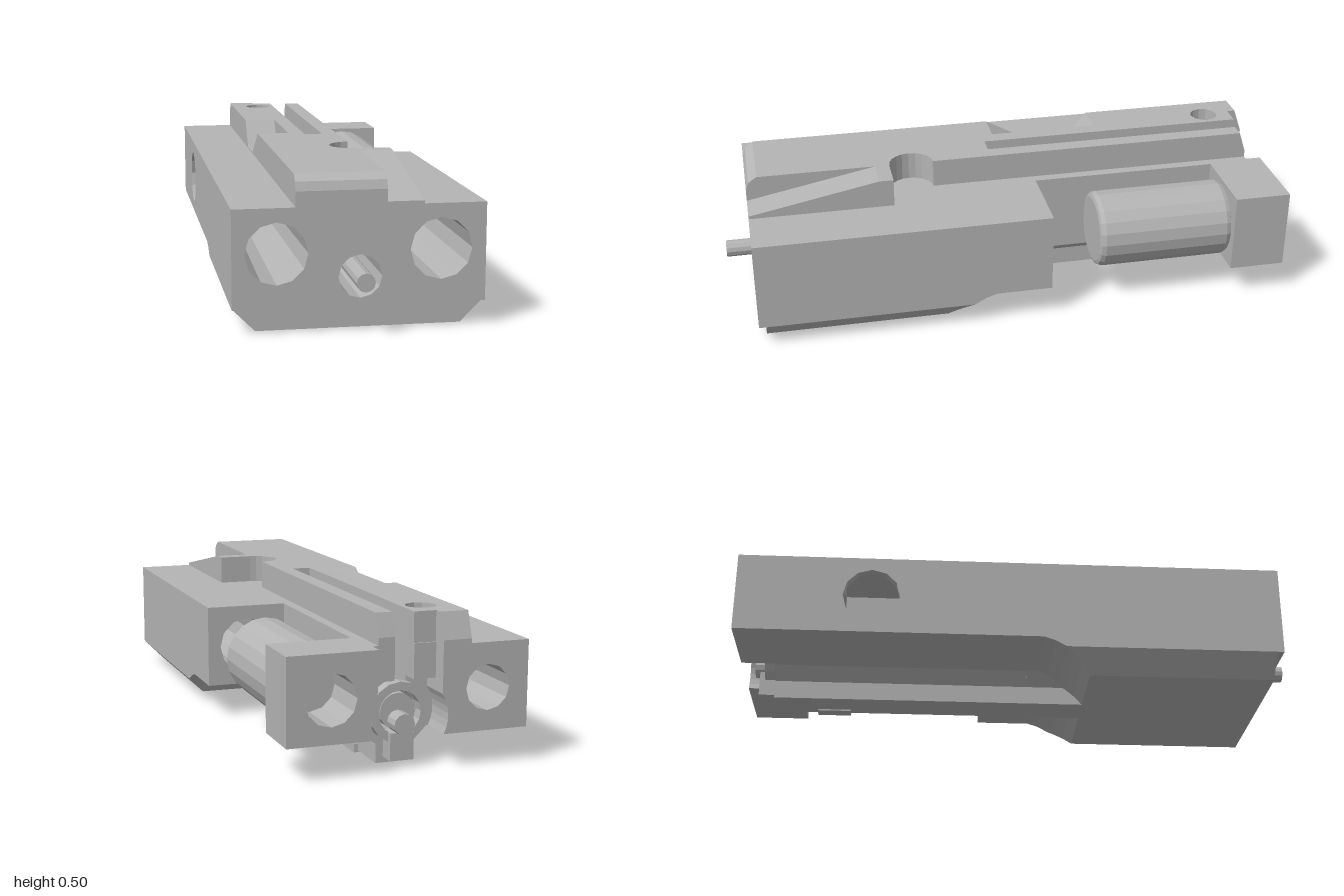
import * as THREE from 'three';

export function createModel() {
  const model = new THREE.Group();
  const steel = new THREE.MeshStandardMaterial({ color: 0xb4b4b4 });
  steel.flatShading = true;
  const inner = new THREE.MeshStandardMaterial({ color: 0xb4b4b4, side: THREE.DoubleSide });
  inner.flatShading = true;

  const add = (name, geo, mat = steel) => {
    const mesh = new THREE.Mesh(geo, mat);
    mesh.name = name;
    model.add(mesh);
    return mesh;
  };
  const ring = (cx, cy, r, n = 12, a0 = 0, a1 = Math.PI * 2) => {
    const pts = [];
    for (let i = 0; i <= n; i++) {
      const a = a0 + (a1 - a0) * i / n;
      pts.push([cx + r * Math.cos(a), cy + r * Math.sin(a)]);
    }
    return pts;
  };
  const circle = (...args) => ring(...args).slice(0, -1);
  const toV = pts => pts.map(p => new THREE.Vector2(p[0], p[1]));
  const extrude = (pts, depth, holes) => {
    const s = new THREE.Shape(toV(pts));
    holes.forEach(h => s.holes.push(new THREE.Path(toV(h))));
    return new THREE.ExtrudeGeometry(s, { depth, bevelEnabled: false });
  };
  // Extrusions along each axis: outlines are (x,y), (z,y) and (x,z)
  const exZ = (pts, z0, z1, holes = []) => extrude(pts, z1 - z0, holes).translate(0, 0, z0);
  const exX = (pts, x0, x1, holes = []) => extrude(pts, x1 - x0, holes).rotateY(-Math.PI / 2).translate(x1, 0, 0);
  const exY = (pts, y0, y1, holes = []) => extrude(pts, y1 - y0, holes).rotateX(Math.PI / 2).translate(0, y1, 0);
  const rect = (a0, b0, a1, b1) => [[a0, b0], [a1, b0], [a1, b1], [a0, b1]];
  const rod = (name, x, y, z0, z1, r0, r1 = r0, n = 12, open = false) =>
    add(name, new THREE.CylinderGeometry(r1, r0, z1 - z0, n, 1, open)
      .rotateX(Math.PI / 2).translate(x, y, (z0 + z1) / 2), open ? inner : steel);

  const T = 0.405, D = 0.505, B = 0.12, W = 0.405;
  const leftBore = circle(-0.265, 0.26, 0.1), rightBore = circle(0.26, 0.26, 0.1);

  // Front body with three bores
  add('frontBody', exZ(rect(-W, 0.085, W, T), 0.25, 0.91, [leftBore, rightBore, circle(0, 0.18, 0.07)]));
  add('middleBody', exZ(rect(-W, B, W, T), 0.03, 0.25, [leftBore, rightBore]));
  add('leftMiddle', exZ(rect(-W, B, -0.11, T), -0.13, 0.03, [leftBore]));
  add('rightMiddle', exZ(rect(0.12, B, W, T), -0.13, 0.03, [rightBore]));
  rod('boreLiner', -0.265, 0.26, -0.43, 0.91, 0.075, 0.1, 12, true);

  // Lower keel with chamfered sides and a curved rear end
  const keel = exX([[0.885, 0.01], [0.885, 0.085], [0.15, 0.085], [0.175, 0.068],
    [0.205, 0.043], [0.235, 0.01]], -W, W);
  const p = keel.attributes.position;
  for (let i = 0; i < p.count; i++) p.setX(i, Math.sign(p.getX(i)) * (0.32 + p.getY(i)));
  keel.computeVertexNormals();
  add('keel', keel);
  add('keelFillet', exX([[0.25, 0.085], [0.25, B], [0.07, B], [0.11, 0.107], [0.15, 0.085]], -W, W));

  // Central column with open slot above the bolt channel, and a narrow rail below
  const slotArc = ring(0, 0.18, 0.07, 16, Math.acos(0.03 / 0.07), Math.PI * -1 - Math.acos(0.035 / 0.07));
  add('centralColumn', exZ([[-0.065, 0.01], [0.065, 0.01], [0.065, 0.075], [0.12, B], [0.12, T], [0.03, T],
    ...slotArc, [-0.035, T], [-0.11, T], [-0.11, B], [-0.065, 0.075]], -0.88, 0.03));
  add('railFront', exZ([[-0.065, 0.01], [0.065, 0.01], [0.065, 0.075], [0.12, B], [-0.12, B], [-0.065, 0.075]], 0.03, 0.25));
  add('railCatch', exZ(rect(0.035, 0.005, 0.08, 0.035), -0.73, -0.61));

  // Left rear wall with side port
  add('leftWall', exX(rect(-1, B, -0.13, T), -W, -0.37, [circle(-0.53, 0.26, 0.1)]));
  add('leftRearFront', exZ(rect(-0.37, B, -0.11, T), -0.43, -0.13, [leftBore]));
  add('portChamber', exZ([[-0.37, B], [-0.11, B], [-0.11, T], [-0.37, T], [-0.37, 0.36],
    [-0.19, 0.36], [-0.19, 0.16], [-0.37, 0.16]], -0.63, -0.43));
  add('leftRearBlock', exZ(rect(-0.37, B, -0.11, T), -0.88, -0.63, [circle(-0.265, 0.26, 0.075)]));
  const bite = ring(0, 0.18, 0.13, 6, Math.PI * 0.82, Math.PI * 1.15);
  add('leftRearEnd', exZ([[-0.37, T], [-0.37, B], [-0.12, B], ...bite.reverse(), [-0.11, T]], -1, -0.88,
    [circle(-0.265, 0.26, 0.075)]));

  // Right rear block
  const biteR = ring(0, 0.18, 0.13, 6, -Math.PI * 0.15, Math.PI * 0.18);
  add('rightRearBlock', exZ([[W, B], [W, T], [0.105, T], ...biteR.reverse(), [0.12, B]], -1, -0.8,
    [circle(0.26, 0.26, 0.085)]));

  // Rear bridge pieces beside the slot
  add('leftBridge', exZ(rect(-0.115, 0.29, -0.035, T), -0.945, -0.88));
  add('rightBridge', exZ(rect(0.03, 0.29, 0.11, T), -0.945, -0.88));

  // Raised deck: front strips with rounded nose
  const nose = z0 => [[z0, T], [0.91, T], [0.91, 0.455], [0.9, 0.484], [0.87, D], [z0, D]];
  add('deckFront', exX(nose(0.03), -0.205, 0));
  add('deckNose', exX(nose(0.4), 0, 0.085));
  add('deckMiddle', exX(rect(0.03, T, 0.24, D), 0, 0.085));
  add('deckNotch', exY([[0, 0.24], [0.085, 0.24],
    ...ring(0.085, 0.32, 0.079, 10, Math.PI * 1.5, Math.PI * 0.5), [0.085, 0.4], [0, 0.4]], T, D));
  add('ramp', exX([[0.91, T], [0.91, 0.415], [0.45, D], [0.4, D], [0.4, T]], 0.085, 0.203));

  // Raised deck: rear strips either side of the slot
  add('deckLeftInner', exX(rect(-0.72, T, 0.03, D), -0.09, -0.035));
  add('deckLeftOuter', exX([[-0.72, T], [0.03, T], [0.03, D], [-0.01, D], [-0.18, 0.41],
    [-0.32, 0.41], [-0.4, D], [-0.72, D]], -0.205, -0.09));
  add('deckLeftRear', exY([[-0.205, -0.97], [-0.11, -0.97], [-0.11, -0.94], [-0.035, -0.94],
    [-0.035, -0.72], [-0.205, -0.72]], T, D, [circle(-0.1, -0.84, 0.05)]));
  add('deckLeftEnd', exX([[-1, T], [-0.97, T], [-0.97, D], [-1, 0.42]], -0.205, -0.11));
  add('deckRight', exX([[-0.945, T], [0.03, T], [0.03, D], [-0.92, D], [-0.945, 0.43]], 0.03, 0.085));

  // Bolt, front pin and rear collar
  rod('bolt', 0, 0.18, -0.9, 0.25, 0.06, 0.06, 16);
  rod('frontPin', 0, 0.18, 0.25, 1, 0.03);
  rod('rearPin', 0, 0.15, -0.96, -0.88, 0.035);
  add('rearCollar', exZ(circle(0, 0.18, 0.1, 16), -0.92, -0.88, [circle(0, 0.18, 0.072, 16)]));
  add('rearTab', exZ(rect(-0.04, 0.03, 0.04, 0.12), -0.94, -0.88));

  // Roller in the side pocket
  const profile = [[0, -0.8], [0.118, -0.8], [0.131, -0.795], [0.137, -0.78],
    [0.137, -0.33], [0.131, -0.315], [0.118, -0.31], [0, -0.31]];
  add('roller', new THREE.LatheGeometry(toV(profile), 20).rotateX(Math.PI / 2).translate(0.257, 0.26, 0));

  return model;
}
